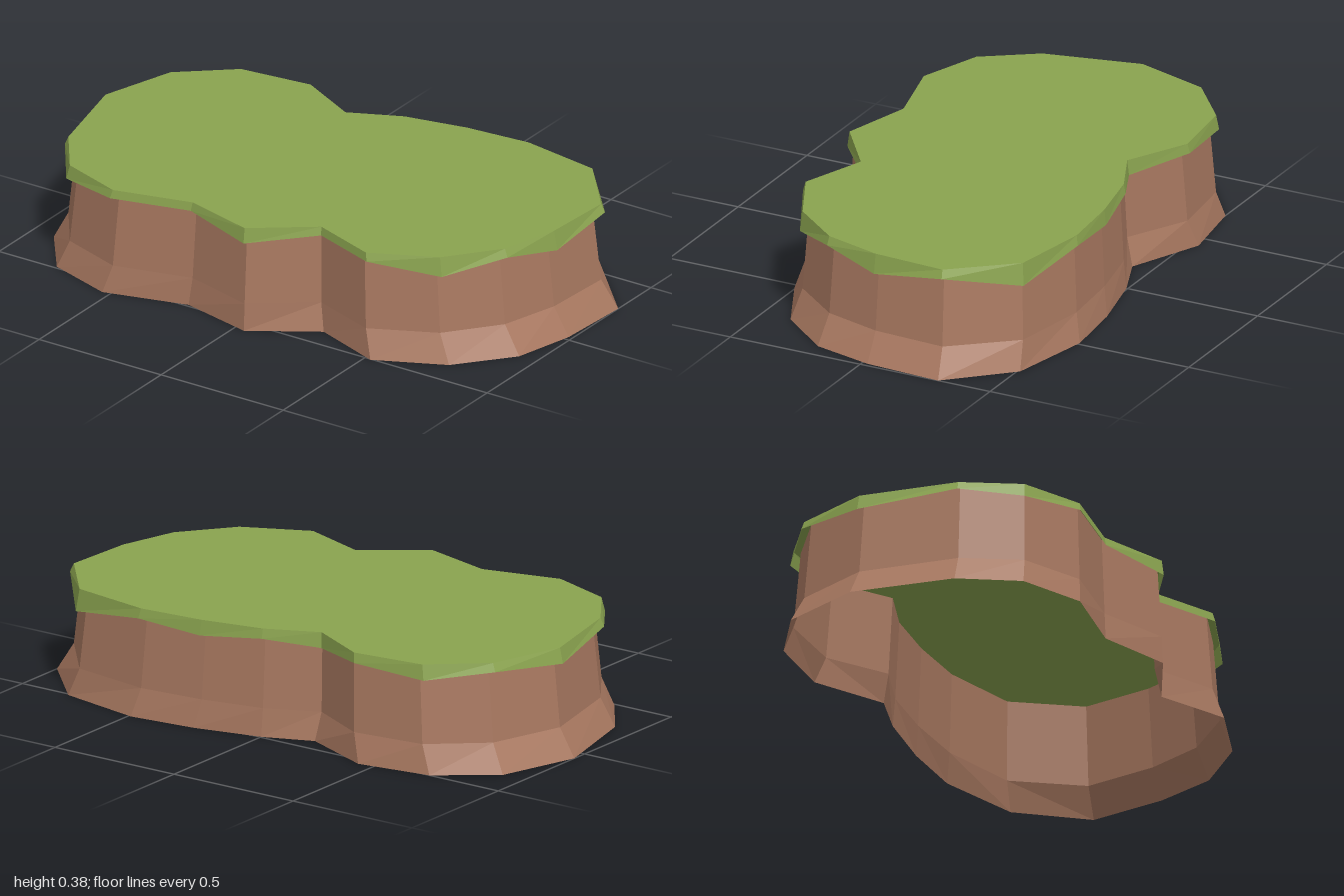
import * as THREE from 'three';

const TOP_Y = 0.385, BEND_Y = 0.1;

// Island outline: [foot x, foot z, grass x, grass z, height of the grass skirt's lower edge]
const OUTLINE = [
  [-1.0, -0.06, -0.94, -0.06, 0.33],
  [-0.91, -0.35, -0.855, -0.33, 0.355],
  [-0.71, -0.5, -0.67, -0.485, 0.33],
  [-0.44, -0.54, -0.405, -0.515, 0.35],
  [-0.175, -0.425, -0.185, -0.4, 0.33],
  [0.0, -0.495, 0.0, -0.485, 0.35],
  [0.245, -0.55, 0.225, -0.53, 0.33],
  [0.49, -0.575, 0.465, -0.55, 0.35],
  [0.8, -0.51, 0.76, -0.5, 0.305],
  [1.0, -0.3, 0.94, -0.285, 0.355],
  [0.985, -0.02, 0.925, -0.02, 0.315],
  [0.93, 0.2, 0.865, 0.19, 0.355],
  [0.77, 0.39, 0.72, 0.37, 0.315],
  [0.525, 0.505, 0.49, 0.48, 0.355],
  [0.27, 0.41, 0.25, 0.395, 0.355],
  [0.04, 0.555, 0.04, 0.55, 0.33],
  [-0.23, 0.49, -0.22, 0.48, 0.355],
  [-0.53, 0.57, -0.5, 0.55, 0.355],
  [-0.77, 0.49, -0.73, 0.47, 0.335],
  [-0.91, 0.3, -0.86, 0.285, 0.355],
];

// Closed band of flat quads through rings listed from bottom to top
function bandGeometry(rings) {
  const pos = [];
  for (let r = 0; r < rings.length - 1; r++) {
    const a = rings[r], b = rings[r + 1];
    a.forEach((_, i) => {
      const j = (i + 1) % a.length;
      pos.push(...a[j], ...a[i], ...b[i], ...a[j], ...b[i], ...b[j]);
    });
  }
  const g = new THREE.BufferGeometry();
  g.setAttribute('position', new THREE.Float32BufferAttribute(pos, 3));
  g.computeVertexNormals();
  return g;
}

export function createModel() {
  const model = new THREE.Group();
  model.name = 'grassyCliff';
  const grass = new THREE.MeshStandardMaterial({
    name: 'grass green', color: 0x8aa34f, flatShading: true, side: THREE.DoubleSide });
  const earth = new THREE.MeshStandardMaterial({
    name: 'earth brown', color: 0xa87860, flatShading: true, side: THREE.DoubleSide });

  const add = (name, geometry, material) => {
    const mesh = new THREE.Mesh(geometry, material);
    mesh.name = name;
    model.add(mesh);
  };
  const ring = (scale, y) => OUTLINE.map(p => [p[2] * scale, y ?? p[4], p[3] * scale]);

  // Open-bottomed earth wall with a flared foot
  const foot = OUTLINE.map(p => [p[0], 0, p[1]]);
  add('earthWall', bandGeometry([foot, ring(1, BEND_Y), ring(0.967, TOP_Y - 0.002)]), earth);

  // Overhanging grass skirt with an uneven lower edge
  add('grassSkirt', bandGeometry([ring(1.014), ring(1, TOP_Y)]), grass);

  // Flat grass top
  const shape = new THREE.Shape(OUTLINE.map(p => new THREE.Vector2(p[2], -p[3])));
  const top = new THREE.ShapeGeometry(shape).rotateX(-Math.PI / 2).translate(0, TOP_Y, 0);
  add('grassTop', top, grass);

  return model;
}
